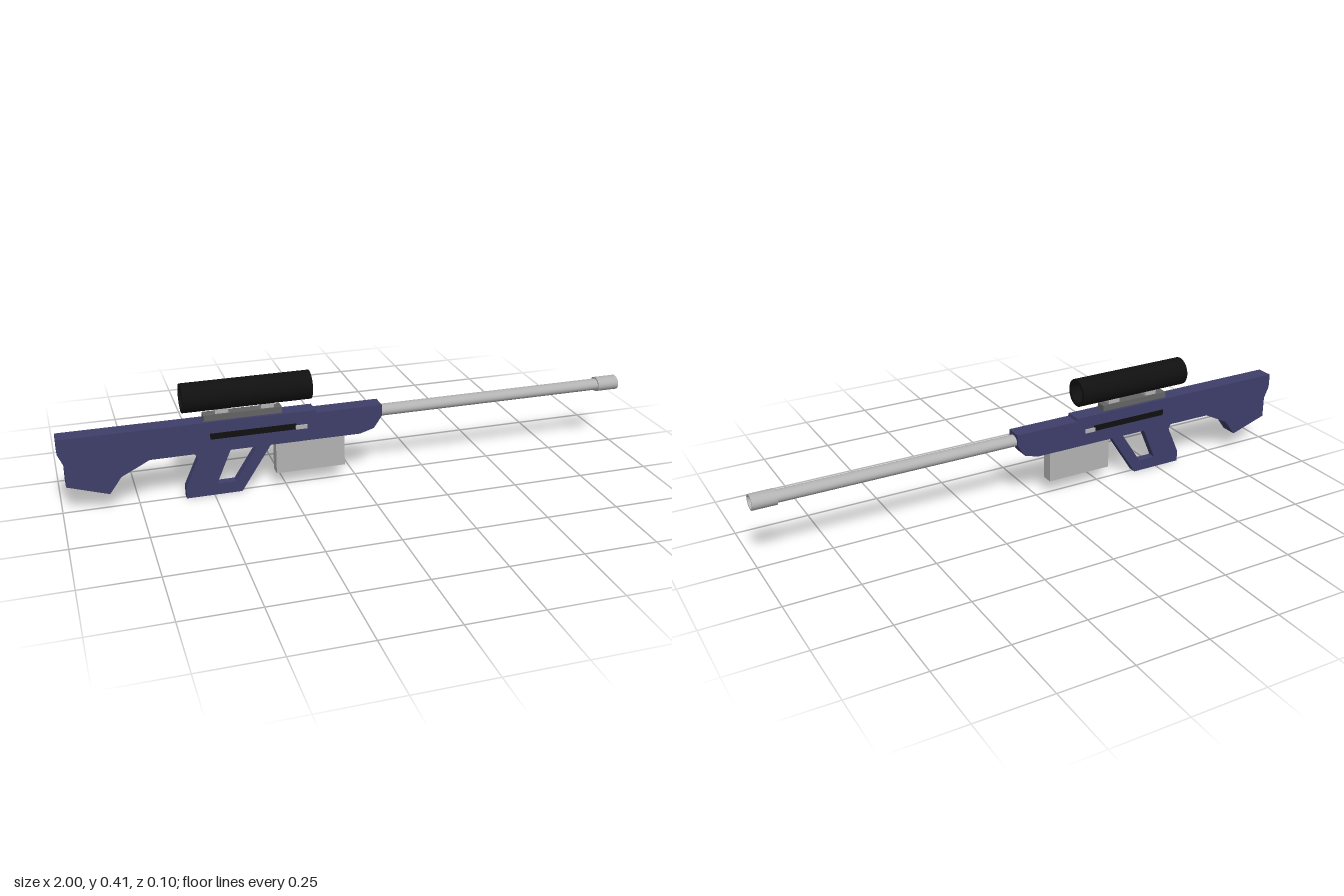
import * as THREE from 'three';

const mat = (name, color) => Object.assign(new THREE.MeshStandardMaterial({ color }), { name });

export function createModel() {
  const navy = mat('navy stock', 0x3e3e6a);
  const steel = mat('light steel', 0xb2b2b2);
  const darkSteel = mat('dark steel', 0x636363);
  const black = mat('black', 0x101010);
  const model = new THREE.Group();

  const add = (name, geometry, material) => {
    const mesh = new THREE.Mesh(geometry, material);
    mesh.name = name;
    model.add(mesh);
    return mesh;
  };
  // Box given by its x and y ranges and its full depth
  const box = (name, x0, x1, y0, y1, depth, material) => {
    const mesh = add(name, new THREE.BoxGeometry(x1 - x0, y1 - y0, depth), material);
    mesh.position.set((x0 + x1) / 2, (y0 + y1) / 2, 0);
    return mesh;
  };
  // Side outline extruded evenly about z = 0
  const plate = (name, outline, depth, material, hole) => {
    const points = (list) => list.map(([x, y]) => new THREE.Vector2(x, y));
    const shape = new THREE.Shape(points(outline));
    if (hole) shape.holes.push(new THREE.Path(points(hole)));
    const geometry = new THREE.ExtrudeGeometry(shape, { depth, bevelEnabled: false });
    return add(name, geometry.translate(0, 0, -depth / 2), material);
  };
  // Hollow tube along x, with square ends
  const tube = (name, x0, x1, inner, outer, y, material) => {
    const profile = [[inner, x0], [outer, x0], [outer, x1], [inner, x1], [inner, x0]];
    // Each straight run is its own lathe so the rims stay sharp
    const group = new THREE.Group();
    group.name = name;
    for (let i = 0; i < 4; i++) {
      const run = [profile[i], profile[i + 1]].map(([r, l]) => new THREE.Vector2(r, l));
      const mesh = new THREE.Mesh(new THREE.LatheGeometry(run, 32).rotateZ(-Math.PI / 2), material);
      mesh.name = name + 'Face';
      group.add(mesh);
    }
    group.position.y = y;
    model.add(group);
    return group;
  };

  // Receiver and shoulder stock in one outline
  plate('stock', [
    [-1, 0.272], [-1, 0.222], [-0.982, 0.18], [-0.982, 0.105], [-0.846, 0.061],
    [-0.805, 0.117], [-0.71, 0.165], [0.01, 0.165], [0.06, 0.18], [0.088, 0.222],
    [0.088, 0.262], [-0.145, 0.262], [-0.148, 0.272],
  ], 0.06, navy);

  // Grip with its slanted guard opening
  plate('grip', [
    [-0.565, 0.168], [-0.55, 0.14], [-0.595, 0.04], [-0.595, 0],
    [-0.405, 0], [-0.295, 0.168],
  ], 0.03, navy, [[-0.437, 0.164], [-0.49, 0.04], [-0.425, 0.04], [-0.345, 0.164]]);

  box('magazine', -0.285, -0.043, 0.052, 0.168, 0.042, steel);

  // Bolt slots and handles on both sides
  for (const side of [1, -1]) {
    box('boltSlot', -0.508, -0.215, 0.211, 0.232, 0.004, black).position.z = side * 0.0295;
    box('boltHandle', -0.218, -0.178, 0.212, 0.225, 0.01, steel).position.z = side * 0.0315;
  }

  // Barrel and muzzle, slightly wider than tall
  const barrel = add('barrel', new THREE.CylinderGeometry(0.025, 0.025, 0.87, 32).rotateZ(-Math.PI / 2), steel);
  barrel.position.set(0.505, 0.232, 0);
  barrel.scale.y = 0.8;
  tube('muzzle', 0.92, 1, 0.025, 0.031, 0.232, steel).scale.y = 0.82;

  // Scope on its rail and two mounts
  box('scopeRail', -0.525, -0.26, 0.27, 0.293, 0.037, darkSteel);
  for (const x of [-0.463, -0.308]) box('scopeMount', x - 0.022, x + 0.022, 0.293, 0.312, 0.027, steel);
  tube('scope', -0.595, -0.16, 0.037, 0.049, 0.356, black);

  return model;
}
